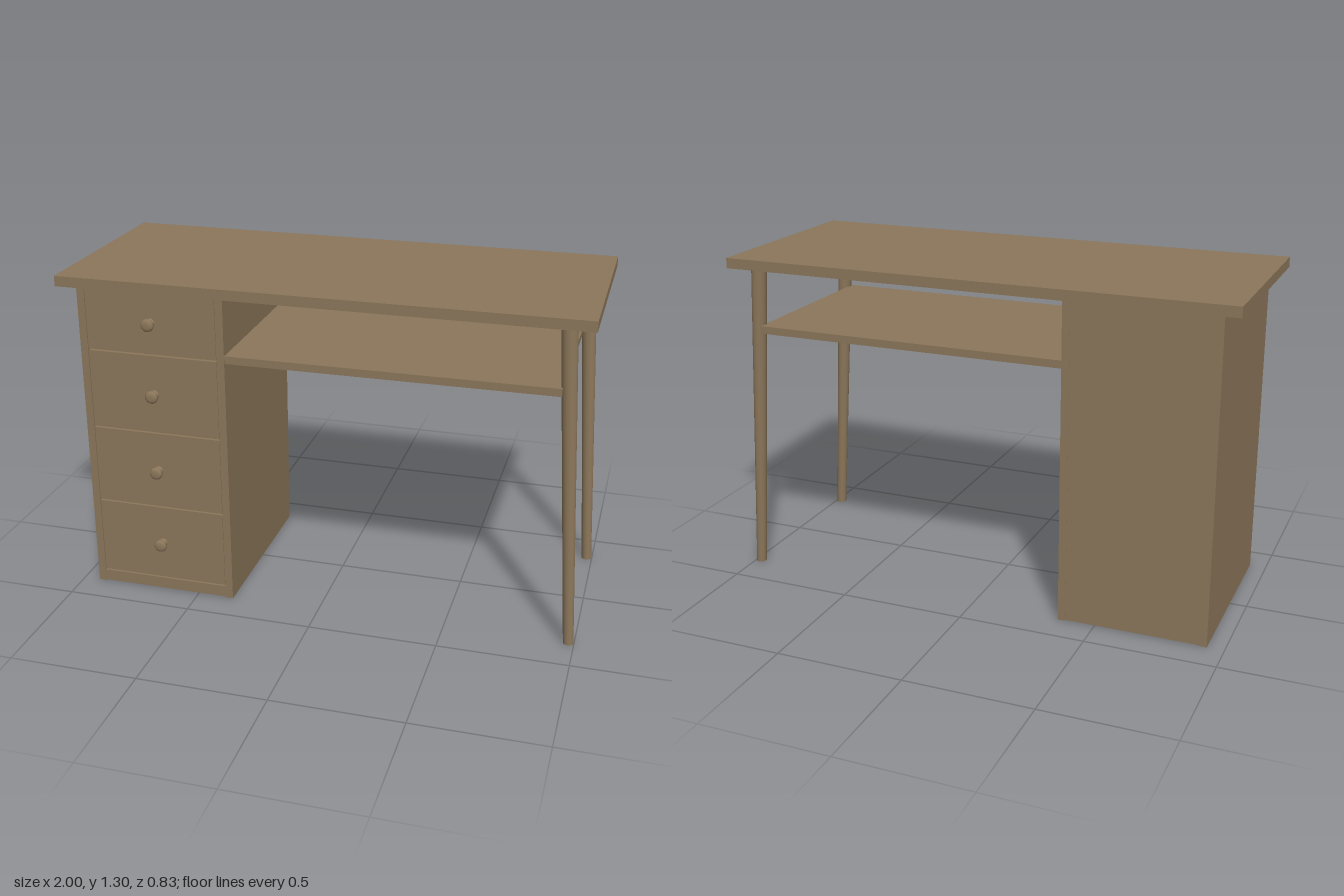
import * as THREE from 'three';

const wood = new THREE.MeshStandardMaterial({ color: 0x8b765a });
wood.name = 'brown wood';

function add(parent, name, geometry, x = 0, y = 0, z = 0) {
  const mesh = new THREE.Mesh(geometry, wood);
  mesh.name = name;
  mesh.position.set(x, y, z);
  parent.add(mesh);
  return mesh;
}

// Box given by its minimum and maximum on each axis
function board(parent, name, [x0, x1], [y0, y1], [z0, z1]) {
  return add(parent, name, new THREE.BoxGeometry(x1 - x0, y1 - y0, z1 - z0),
    (x0 + x1) / 2, (y0 + y1) / 2, (z0 + z1) / 2);
}

export function createModel() {
  const desk = new THREE.Group();
  desk.name = 'desk';

  board(desk, 'tableTop', [-1, 1], [1.26, 1.3], [-0.415, 0.415]);
  board(desk, 'shelf', [-0.355, 0.893], [1.0, 1.03], [-0.372, 0.372]);

  // Drawer cabinet: side panels, back, bottom and plinths
  const cabinet = new THREE.Group();
  cabinet.name = 'cabinet';
  desk.add(cabinet);
  const inner = [-0.904, -0.384];
  board(cabinet, 'outerSidePanel', [-0.934, -0.904], [0, 1.26], [-0.375, 0.375]);
  board(cabinet, 'innerSidePanel', [-0.384, -0.354], [0, 1.26], [-0.375, 0.375]);
  board(cabinet, 'backPanel', inner, [0.05, 1.26], [-0.374, -0.345]);
  board(cabinet, 'cabinetBase', inner, [0.003, 0.05], [-0.374, 0.374]);

  // Mushroom-shaped knob profile, turned to point forwards
  const profile = [[0.018, 0], [0.013, 0.008], [0.012, 0.014], [0.02, 0.02], [0.025, 0.026],
    [0.025, 0.033], [0.02, 0.039], [0.01, 0.041], [0, 0.041]];
  const knob = new THREE.LatheGeometry(profile.map(([r, h]) => new THREE.Vector2(r, h)), 24);
  knob.rotateX(Math.PI / 2);

  // Drawers, separated by narrow gaps
  const levels = [0.053, 0.37, 0.688, 1.007, 1.262];
  for (let i = 0; i < 4; i++) {
    const y0 = levels[i] + 0.003, y1 = levels[i + 1] - 0.003;
    const drawer = new THREE.Group();
    drawer.name = 'drawer';
    cabinet.add(drawer);
    board(drawer, 'drawerFront', [-0.902, -0.386], [y0, y1], [-0.34, 0.374]);
    add(drawer, 'knob', knob, -0.642, (y0 + y1) / 2, 0.374);
  }

  // Tapered legs splayed outwards: sheared so that both ends stay level
  const legGeometry = new THREE.CylinderGeometry(0.03, 0.02, 1.26, 24);
  const slope = new THREE.Matrix4().makeShear(0, 0, -0.078 / 1.26, 0, 0, 0);
  legGeometry.applyMatrix4(slope);
  const pos = legGeometry.attributes.position;
  // Keep the splay in x only
  const straight = new THREE.CylinderGeometry(0.03, 0.02, 1.26, 24).attributes.position;
  for (let i = 0; i < pos.count; i++) {
    const y = straight.getY(i);
    pos.setXYZ(i, straight.getX(i) - (0.078 / 1.26) * y, y, straight.getZ(i));
  }
  legGeometry.computeBoundingSphere();
  for (const side of [1, -1]) {
    add(desk, side > 0 ? 'frontLeg' : 'backLeg', legGeometry, 0.939, 0.63, side * 0.345);
  }

  return desk;
}
